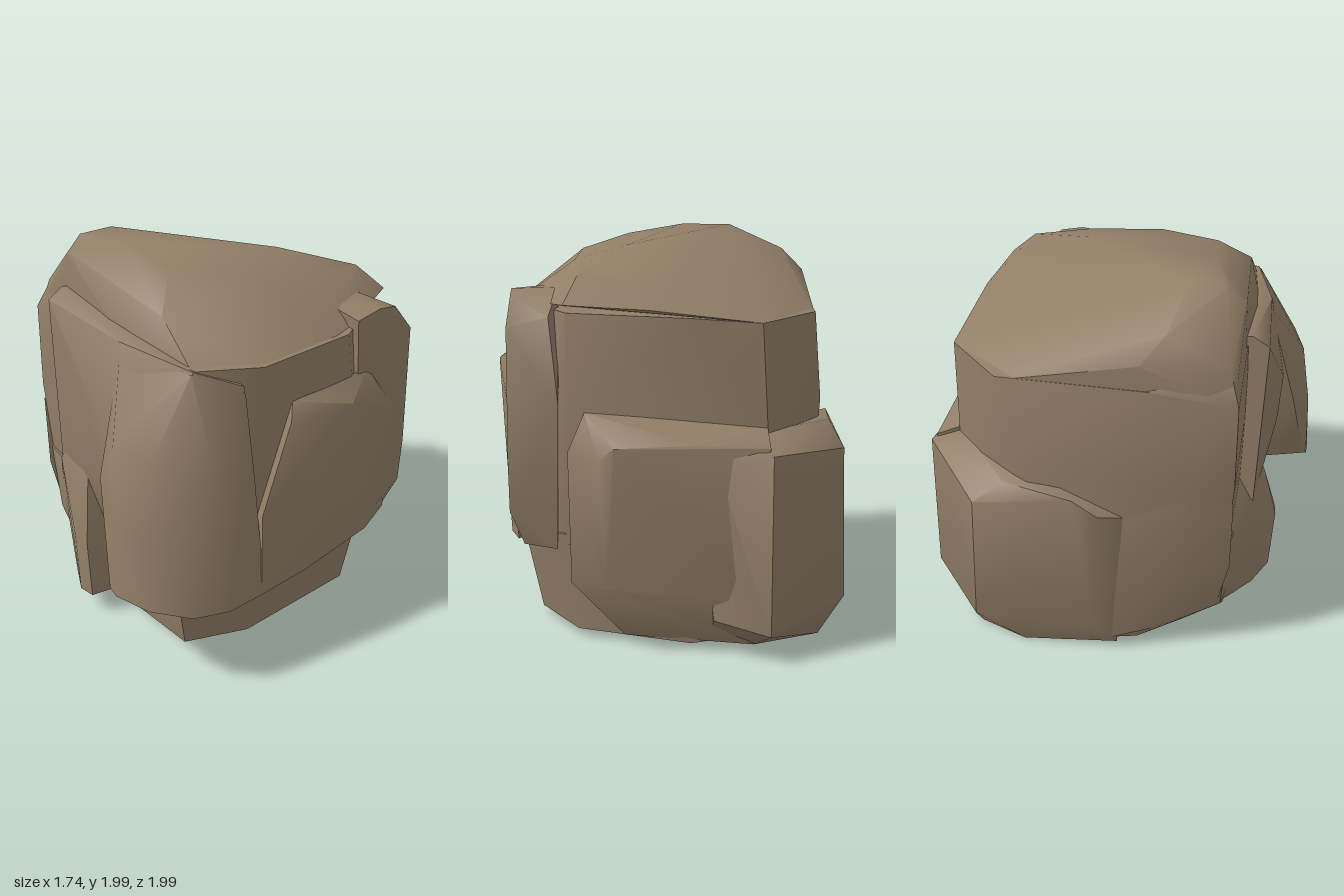
import * as THREE from 'three';
import { ConvexGeometry } from 'three/addons/geometries/ConvexGeometry.js';
import { toCreasedNormals } from 'three/addons/utils/BufferGeometryUtils.js';

// Each chunk of the boulder is a hull around a few corner points [x, y, z].
const chunks = {
  // tapering lower mass with a slightly tilted underside
  base: [
    [-0.62, 0.12, 0.42], [-0.45, 0.12, 0.62], [-0.64, 0.3, 0.62], [0, 0.13, 0.7], [0.54, 0.07, 0.62],
    [0.66, 0.06, 0.3], [0.65, 0.06, -0.4], [0.45, 0.05, -0.66], [-0.1, 0.03, -0.8], [-0.75, 0.02, -0.6],
    [-0.8, 0.02, -0.2], [-0.73, 0.06, 0.2], [-0.66, 0.7, 0.64], [0, 0.55, 0.7], [0.58, 0.5, 0.7],
    [0.74, 0.5, 0.42], [0.74, 0.5, -0.4], [0.52, 0.55, -0.68], [-0.5, 0.6, -0.76], [-0.76, 0.7, -0.3], [-0.76, 0.7, 0.42],
  ],
  // main upright mass
  body: [
    [-0.66, 0.5, 0.62], [0.55, 0.47, 0.66], [0.78, 0.47, 0.4], [0.77, 0.47, -0.4], [0.48, 0.5, -0.7],
    [-0.5, 0.5, -0.77], [-0.76, 0.5, -0.25], [-0.74, 0.5, 0.42],
    [-0.68, 1.1, 0.65], [-0.77, 1.1, 0.44], [-0.77, 1.15, -0.36], [-0.45, 1.1, -0.79], [0.48, 1.1, -0.72],
    [-0.68, 1.55, 0.64], [-0.38, 1.7, 0.64], [0.2, 1.67, 0.66], [0.62, 1.63, 0.6], [0.76, 1.62, 0.32],
    [0.77, 1.64, -0.2], [0.48, 1.62, -0.7], [-0.1, 1.6, -0.76], [-0.42, 1.58, -0.78], [-0.71, 1.6, -0.48],
    [-0.76, 1.64, 0.25], [-0.6, 1.72, 0.58],
  ],
  // sloping top, highest toward the front, with a thin lip at the back
  cap: [
    [-0.42, 1.6, 0.64], [0.2, 1.6, 0.66], [0.62, 1.6, 0.6], [0.76, 1.61, 0.3], [0.76, 1.63, -0.15],
    [0.5, 1.6, -0.26], [0.49, 1.66, -0.75], [0.1, 1.64, -0.78], [-0.42, 1.58, -0.78], [-0.71, 1.58, -0.48],
    [-0.76, 1.58, 0.25], [-0.67, 1.55, 0.62], [-0.75, 1.76, 0.2], [-0.62, 1.7, 0.59], [-0.65, 1.87, 0.3],
    [-0.44, 1.94, 0.5], [-0.38, 1.99, 0.53], [-0.36, 1.92, 0.62], [-0.36, 2, 0.36], [-0.1, 2, 0.45],
    [0.2, 1.95, 0.42], [0.36, 1.8, 0.58], [0.44, 1.88, 0.1], [0.2, 1.91, -0.25], [0.46, 1.84, -0.3],
    [0.42, 1.8, -0.6], [0, 1.73, -0.66],
  ],
  // long slab across the front, undercut at its lower edge
  frontSlab: [
    [-0.37, 1.75, 0.66], [-0.37, 1.7, 0.74], [-0.38, 0.8, 0.73], [-0.2, 0.8, 0.74], [0, 0.55, 0.71],
    [0.25, 0.52, 0.71], [0.5, 0.5, 0.72], [0.5, 0.9, 0.8], [0.78, 0.48, 0.68], [0.2, 1.66, 0.71], [0.62, 1.63, 0.61],
    [0.74, 1.55, 0.42], [-0.37, 0.78, 0.5], [0, 0.5, 0.5], [0.78, 0.5, 0.4], [-0.36, 1.7, 0.4],
    [0, 1.2, 0.79], [0.2, 1.2, 0.81], [0.66, 1.3, 0.74], [0.15, 0.95, 0.8],
  ],
  // overhanging bulge at the front corner
  bulge: [
    [0.44, 0.54, 0.985], [0.5, 0.53, 0.99], [0.68, 0.52, 0.93], [0.82, 0.49, 0.78], [0.87, 0.47, 0.6],
    [0.87, 0.47, 0.38], [0.4, 0.5, 0.7], [0.24, 1.02, 0.88], [0.34, 0.75, 0.93], [0.48, 0.9, 0.96], [0.7, 0.9, 0.88],
    [0.4, 1.27, 0.9], [0.62, 1.27, 0.84], [0.78, 1.2, 0.62], [0.8, 1.1, 0.4], [0.2, 1.6, 0.71],
    [0.62, 1.62, 0.62], [0.75, 1.52, 0.42], [0.2, 1.2, 0.6],
  ],
  // low foot under the front slab
  frontFoot: [
    [-0.42, 0.12, 0.63], [-0.27, 0.13, 0.76], [-0.1, 0.13, 0.84], [0, 0.14, 0.83], [0.04, 0.14, 0.6],
    [-0.36, 0.8, 0.75], [-0.12, 0.8, 0.77], [-0.1, 0.5, 0.85], [0, 0.48, 0.84], [-0.37, 1, 0.62],
    [-0.15, 1, 0.7], [-0.6, 0.45, 0.62], [0.02, 0.5, 0.6],
  ],
  // swelling along the +x side
  sidePlate: [
    [0.8, 1.33, -0.4], [0.87, 1.33, -0.15], [0.82, 1.33, 0.2], [0.76, 1.42, -0.36], [0.77, 1.4, 0.15],
    [0.87, 0.47, 0.4], [0.86, 0.47, 0.1], [0.8, 0.47, -0.4], [0.6, 0.47, -0.3], [0.6, 0.47, 0.4],
    [0.86, 0.9, -0.05], [0.84, 0.9, 0.38], [0.76, 1.1, -0.62], [0.74, 0.5, -0.6],
  ],
  // upright column at the rear corner
  rearColumn: [
    [0.53, 1.72, -0.48], [0.76, 1.71, -0.42], [0.75, 1.69, -0.54], [0.76, 1.55, -0.66], [0.56, 1.6, -0.7],
    [0.77, 1.69, -0.26], [0.53, 1.72, -0.26], [0.77, 0.9, -0.68], [0.77, 0.66, -0.67], [0.71, 0.48, -0.62],
    [0.54, 0.48, -0.7], [0.78, 0.48, -0.35], [0.78, 1.2, -0.45], [0.52, 1.2, -0.74],
  ],
  // low shelf wrapping around the back corner
  backShelf: [
    [-0.46, 1, -0.95], [-0.46, 0.15, -1], [-0.4, 0.03, -0.82], [-0.74, 0.01, -0.66], [-0.82, 0.01, -0.4],
    [-0.87, 0.2, -0.64], [-0.85, 0.95, -0.6], [-0.8, 1.06, -0.45], [-0.85, 1.04, -0.1], [-0.84, 0.95, 0.02],
    [-0.85, 0.2, 0], [-0.78, 0.05, 0.1], [-0.76, 0.9, 0.14], [-0.45, 1.08, -0.77], [-0.1, 1.07, -0.8],
    [-0.2, 0.98, -0.92], [-0.2, 0.2, -0.92], [-0.2, 0.05, -0.75], [-0.4, 0.5, -0.3],
  ],
  // shelf running across the back to the column
  backButtress: [
    [-0.45, 1.03, -0.92], [-0.1, 1.05, -0.93], [0.26, 1.04, -0.95], [0.33, 0.98, -0.93], [0.48, 0.98, -0.77],
    [0.4, 1.16, -0.73], [-0.45, 1.1, -0.78], [0.3, 0.35, -0.9], [0.22, 0.05, -0.74], [-0.4, 0.04, -0.84],
    [-0.4, 0.3, -0.95], [0.48, 0.3, -0.68], [0, 0.5, -0.4],
  ],
  // thin wedge along the -x front edge
  sideWedge: [
    [-0.77, 1.05, 0.42], [-0.76, 1, 0.1], [-0.8, 0.1, 0.08], [-0.7, 0.13, 0.33], [-0.65, 0.3, 0.6],
    [-0.67, 0.6, 0.655], [-0.68, 1, 0.65], [-0.77, 0.55, 0.4], [-0.5, 0.6, 0.2],
  ],
};

export function createModel() {
  const stone = new THREE.MeshStandardMaterial({ color: 0x917e67 });
  stone.name = 'stone';
  const rock = new THREE.Group();
  rock.name = 'boulder';
  for (const [name, corners] of Object.entries(chunks)) {
    const hull = new ConvexGeometry(corners.map((p) => new THREE.Vector3(...p)));
    // worn faces blend together, strong edges stay sharp
    const mesh = new THREE.Mesh(toCreasedNormals(hull, 0.8), stone);
    mesh.name = name;
    rock.add(mesh);
  }
  return rock;
}
